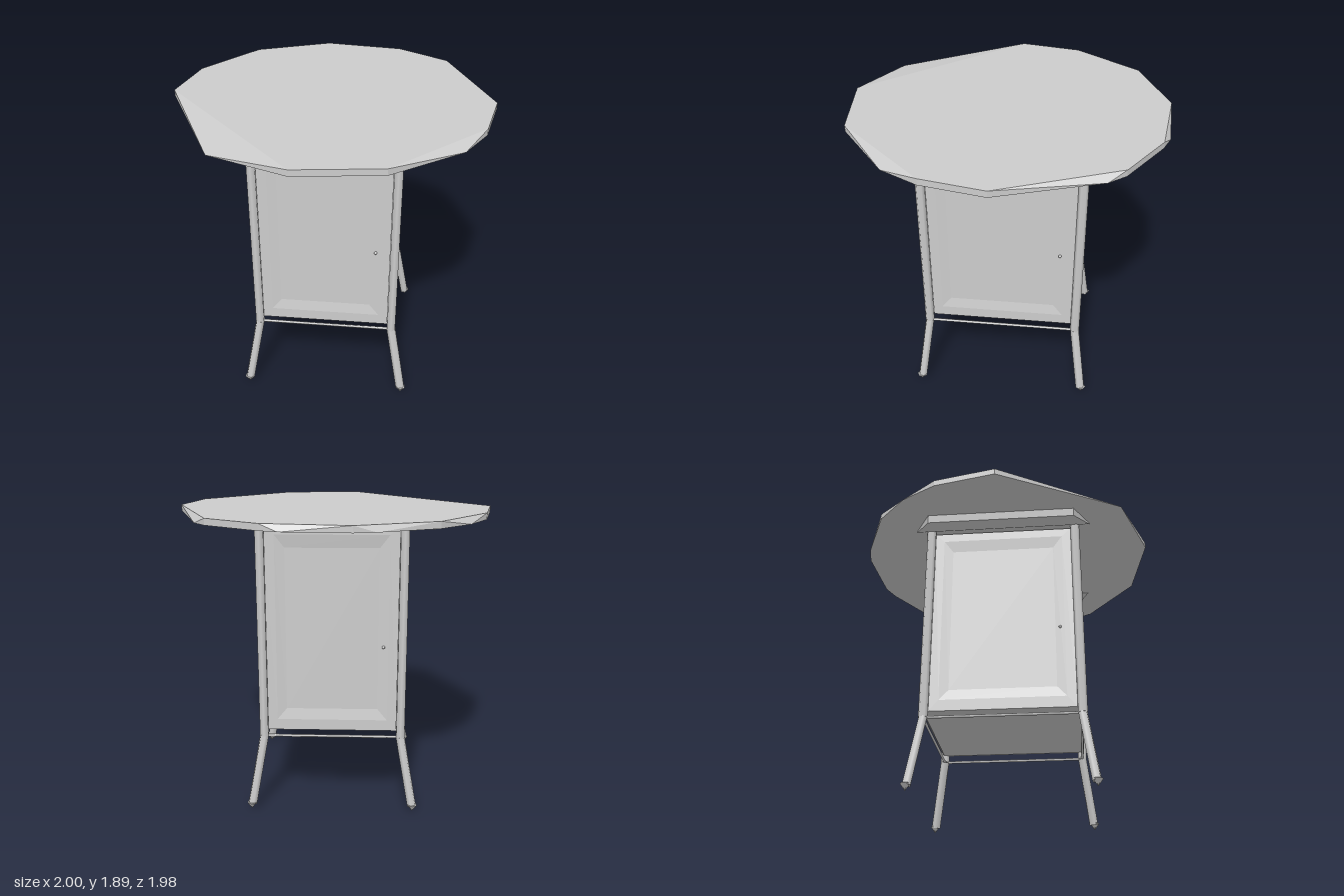
import * as THREE from 'three';
import { ConvexGeometry } from 'three/addons/geometries/ConvexGeometry.js';

export function createModel() {
  const model = new THREE.Group();
  const grey = new THREE.MeshStandardMaterial({ color: 0xcccccc, side: THREE.DoubleSide });
  grey.name = 'lightGrey';

  const add = (name, geometry, parent = model) => {
    const mesh = new THREE.Mesh(geometry, grey);
    mesh.name = name;
    parent.add(mesh);
    return mesh;
  };

  // Round rod between two points
  const rod = (name, a, b, radius, parent) => {
    const from = new THREE.Vector3(...a), to = new THREE.Vector3(...b);
    const dir = to.clone().sub(from);
    const mesh = add(name, new THREE.CylinderGeometry(radius, radius, dir.length(), 6), parent);
    mesh.position.copy(from).add(to).multiplyScalar(0.5);
    mesh.quaternion.setFromUnitVectors(new THREE.Vector3(0, 1, 0), dir.normalize());
    return mesh;
  };

  // Tabletop: irregular faceted disc, the lower outline a little fuller than the upper
  const upper = [[-1, 0], [-0.92, -0.39], [-0.61, -0.8], [-0.13, -0.99], [0.38, -0.92], [0.71, -0.71],
    [1, 0], [0.92, 0.38], [0.38, 0.92], [-0.13, 0.985]];
  const lower = [[-1, 0], [-0.92, -0.39], [-0.8, -0.61], [-0.61, -0.8], [-0.26, -0.96], [-0.13, -0.99],
    [0.27, -0.965], [0.38, -0.92], [0.71, -0.71], [0.79, -0.61], [1, 0], [0.92, 0.38], [0.79, 0.61],
    [0.38, 0.92], [-0.13, 0.985], [-0.61, 0.79]];
  add('tabletop', new ConvexGeometry([
    ...upper.map(([x, z]) => new THREE.Vector3(x, 1.89, z)),
    ...lower.map(([x, z]) => new THREE.Vector3(x, 1.85, z)),
  ]));

  // Framed panel facing +z: flat frame, sloping bevel, slightly recessed centre
  const panelGeometry = (halfWidth) => {
    const loop = (w, y0, y1, z) => [[-w, y0, z], [w, y0, z], [w, y1, z], [-w, y1, z]];
    const loops = [
      loop(halfWidth, 0.53, 1.83, 0),
      loop(halfWidth - 0.06, 0.6, 1.77, 0),
      loop(halfWidth - 0.12, 0.67, 1.69, -0.012),
    ];
    const points = [];
    const quad = (a, b, c, d) => points.push(...a, ...b, ...c, ...a, ...c, ...d);
    for (let i = 0; i < 2; i++) {
      for (let k = 0; k < 4; k++) {
        const n = (k + 1) % 4;
        quad(loops[i][k], loops[i][n], loops[i + 1][n], loops[i + 1][k]);
      }
    }
    quad(...loops[2]);
    const geometry = new THREE.BufferGeometry();
    geometry.setAttribute('position', new THREE.Float32BufferAttribute(points, 3));
    geometry.computeVertexNormals();
    return geometry;
  };

  // Cabinet: four framed panels set between the legs, each with a small knob, and a floor
  const W = 0.428, D = 0.496;
  ['front', 'right', 'back', 'left'].forEach((side, i) => {
    const [half, depth] = i % 2 ? [0.457, W] : [0.405, D];
    const group = new THREE.Group();
    group.name = side + 'Panel';
    group.rotation.y = i * Math.PI / 2;
    add('framedPanel', panelGeometry(half), group).position.z = depth;
    const knob = add('knob', new THREE.SphereGeometry(0.01, 8, 6), group);
    knob.position.set(half - 0.09, 1.08, depth);
    model.add(group);
  });
  add('cabinetFloor', new THREE.BoxGeometry(0.84, 0.01, 0.98)).position.y = 0.535;

  // Legs: straight posts at the corners, splayed below the cabinet, with pointed feet
  const LX = 0.433, LZ = 0.487, Y = 0.485;
  for (const sx of [-1, 1]) {
    for (const sz of [-1, 1]) {
      const leg = new THREE.Group();
      leg.name = 'leg';
      const knee = [sx * LX, Y, sz * LZ];
      rod('post', [sx * LX, 1.85, sz * LZ], knee, 0.03, leg);
      rod('splayedLeg', knee, [sx * 0.513, 0.035, sz * 0.548], 0.029, leg);
      const foot = add('foot', new THREE.ConeGeometry(0.032, 0.045, 6), leg);
      foot.rotation.x = Math.PI;
      foot.position.set(sx * 0.516, 0.0225, sz * 0.553);
      model.add(leg);
    }

    // Support bar under the tabletop, deepest along its outer edge
    const bar = [];
    for (const sz of [-1, 1]) {
      bar.push(
        new THREE.Vector3(sx * 0.45, 1.85, sz * 0.585),
        new THREE.Vector3(sx * 0.45, 1.842, sz * 0.585),
        new THREE.Vector3(sx * 0.62, 1.85, sz * 0.48),
        new THREE.Vector3(sx * 0.61, 1.8, sz * 0.48),
      );
    }
    add('supportBar', new ConvexGeometry(bar));

    // Thin stretchers joining the legs
    rod('sideStretcher', [sx * LX, Y, -LZ], [sx * LX, Y, LZ], 0.009);
    rod('crossStretcher', [-LX, Y, sx * LZ], [LX, Y, sx * LZ], 0.009);
  }

  return model;
}
